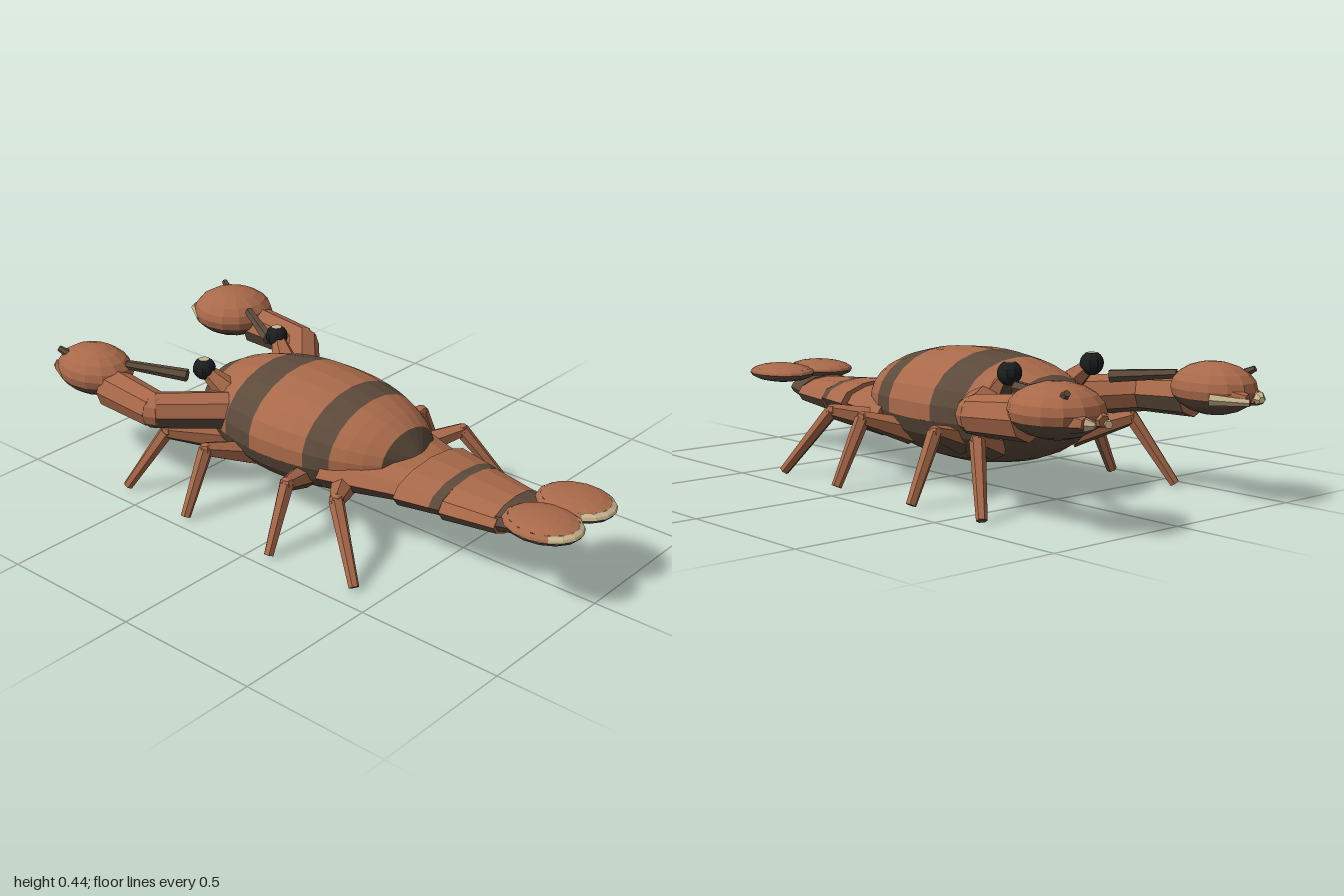
import * as THREE from 'three';

const mat = (name, color) => {
  const m = new THREE.MeshStandardMaterial({ color, flatShading: true });
  m.name = name;
  return m;
};

export function createModel() {
  const brown = mat('shell brown', 0xa9694a);
  const dark = mat('dark stripe', 0x5c4a3b);
  const cream = mat('cream', 0xc8b48e);
  const black = mat('eye black', 0x1b1e1f);

  const model = new THREE.Group();
  model.name = 'lobster';
  const root = new THREE.Group();
  root.name = 'lobsterParts';
  root.position.x = -0.012;
  model.add(root);

  const add = (name, geo, m, pos = [0, 0, 0]) => {
    const mesh = new THREE.Mesh(geo, m);
    mesh.name = name;
    mesh.position.set(...pos);
    root.add(mesh);
    return mesh;
  };

  // Shell part: brown, with dark on the faces that point down
  const addShell = (name, source, pos) => {
    const geo = source.toNonIndexed();
    geo.clearGroups();
    const p = geo.attributes.position;
    const tri = new THREE.Triangle(), n = new THREE.Vector3();
    for (let i = 0; i < p.count; i += 3) {
      tri.setFromAttributeAndIndices(p, i, i + 1, i + 2).getNormal(n);
      geo.addGroup(i, 3, n.y < -0.4 ? 1 : 0);
    }
    return add(name, geo, [brown, dark], pos);
  };
  const ball = (name, pos, r, w = 10, h = 8) =>
    addShell(name, new THREE.SphereGeometry(1, w, h).scale(...r), pos);

  // Tapered rod between two points; without a material it is a shell part
  const rod = (name, m, a, b, r1, r2, sides = 6) => {
    const p = new THREE.Vector3(...a), q = new THREE.Vector3(...b);
    const d = q.clone().sub(p);
    const geo = new THREE.CylinderGeometry(r2, r1, d.length(), sides).applyQuaternion(
      new THREE.Quaternion().setFromUnitVectors(new THREE.Vector3(0, 1, 0), d.normalize()));
    const mid = p.add(q).multiplyScalar(0.5).toArray();
    return m ? add(name, geo, m, mid) : addShell(name, geo, mid);
  };

  // Body shell: bands along z, striped above and dark below
  const cz = -0.12, rz = 0.457, rx = 0.265, ry = 0.185;
  const shell = (name, z0, z1, m, start, length, sides) => {
    const n = Math.max(1, Math.round((z1 - z0) / 0.05));
    const pts = [];
    for (let i = 0; i <= n; i++) {
      const t = THREE.MathUtils.clamp((z0 + (z1 - z0) * i / n - cz) / rz, -1, 1);
      pts.push(new THREE.Vector2(Math.sqrt(1 - t * t), t * rz));
    }
    const geo = new THREE.LatheGeometry(pts, sides, start, length)
      .rotateX(Math.PI / 2).scale(rx, ry, 1);
    add(name, geo, m, [0, 0.26, cz]);
  };
  const drop = 0.14;
  const bands = [-0.577, -0.455, -0.307, -0.18, 0.04, 0.13, 0.275, 0.337];
  for (let i = 0; i < bands.length - 1; i++)
    shell('bodyBand', bands[i], bands[i + 1], i % 2 ? brown : dark,
      Math.PI / 2 - drop, Math.PI + 2 * drop, 12);
  const caps = [-0.577, -0.55, -0.5, 0.26, 0.31, 0.337];
  for (let i = 0; i < caps.length - 1; i++)
    shell('belly', caps[i], caps[i + 1], dark, -Math.PI / 2 + drop, Math.PI - 2 * drop, 10);

  // Tail: [front z, back z, front half width, back half width, flatness, y, dark]
  const tail = [
    [0.10, 0.37, 0.25, 0.165, 0.36, 0.218, false],
    [0.37, 0.49, 0.192, 0.166, 0.36, 0.22, false],
    [0.49, 0.525, 0.166, 0.158, 0.36, 0.22, true],
    [0.525, 0.71, 0.16, 0.125, 0.41, 0.212, false],
    [0.70, 0.82, 0.122, 0.078, 0.42, 0.218, true],
  ];
  for (const [z0, z1, w0, w1, flat, y, isDark] of tail) {
    const geo = new THREE.CylinderGeometry(w1, w0, z1 - z0, 12)
      .rotateX(Math.PI / 2).scale(1, flat, 1);
    const pos = [0, y, (z0 + z1) / 2];
    if (isDark) add('darkTailSegment', geo, [dark, brown, brown], pos);
    else addShell('tailSegment', geo, pos);
  }

  for (const s of [-1, 1]) {
    const P = (x, y, z) => [s * x, y, z];

    // Tail fan lobe: brown top, cream back rim, dark underside
    const PI = Math.PI;
    const lobe = (m, phi, phiLen, th, thLen, w, h) => add('tailFan',
      new THREE.SphereGeometry(1, w, h, phi, phiLen, th, thLen).scale(0.108, 0.033, 0.133),
      m, P(0.087, 0.27, 0.862));
    lobe(brown, 0, 2 * PI, 0, PI / 3, 15, 3);
    lobe(cream, 0.2 * PI, 0.6 * PI, PI / 3, PI / 6, 5, 2);
    lobe(brown, 0.8 * PI, 1.4 * PI, PI / 3, PI / 6, 10, 2);
    lobe(dark, 0, 2 * PI, PI / 2, PI / 2, 15, 4);

    // Eye on a short stalk, with a flat glint on top
    const r = 0.039, cut = 0.5;
    rod('eyeStalk', null, P(0.145, 0.34, -0.39), P(0.175, 0.4, -0.45), 0.045, 0.025);
    add('eye', new THREE.SphereGeometry(r, 10, 8, 0, 2 * PI, cut, PI - cut), black,
      P(0.178, 0.409, -0.46));
    add('eyeGlint', new THREE.CircleGeometry(r * Math.sin(cut), 10).rotateX(-PI / 2), cream,
      P(0.178, 0.409 + r * Math.cos(cut), -0.46));

    // Antenna
    rod('antenna', dark, P(0.2, 0.372, -0.52), P(0.3, 0.39, -0.71), 0.022, 0.016);

    // Walking legs: [hip, knee, foot]
    const legs = [
      [[0.17, 0.17, -0.38], [0.335, 0.222, -0.49], [0.42, 0.01, -0.605]],
      [[0.18, 0.17, -0.24], [0.34, 0.222, -0.3], [0.44, 0.01, -0.305]],
      [[0.18, 0.17, 0.0], [0.34, 0.222, 0.06], [0.44, 0.01, 0.07]],
      [[0.17, 0.18, 0.15], [0.32, 0.222, 0.25], [0.41, 0.01, 0.4]],
    ];
    for (const [hip, knee, foot] of legs) {
      rod('upperLeg', null, P(...hip), P(...knee), 0.045, 0.025);
      ball('knee', P(...knee), [0.024, 0.024, 0.024], 6, 4);
      rod('lowerLeg', null, P(...knee), P(...foot), 0.025, 0.017);
    }

    // Claw arm
    rod('upperArm', null, P(0.16, 0.29, -0.33), P(0.36, 0.305, -0.51), 0.066, 0.063, 8);
    ball('elbow', P(0.36, 0.305, -0.51), [0.061, 0.061, 0.061], 8, 6);
    rod('forearm', null, P(0.36, 0.305, -0.51), P(0.355, 0.32, -0.73), 0.062, 0.07, 8);

    // Claw, pincer fingers and spike
    const w = s > 0 ? 0.14 : 0.115, cx = 0.338;
    ball('claw', P(cx, 0.355, -0.828), [w, 0.083, 0.147], 14, 10);
    rod('outerFinger', null, P(cx + 0.055, 0.34, -0.88), P(cx + 0.035, 0.335, -0.975), 0.045, 0.022);
    rod('outerFingerTip', cream, P(cx + 0.035, 0.335, -0.975), P(cx + 0.02, 0.333, -1), 0.022, 0.01);
    rod('innerFinger', null, P(cx - 0.06, 0.345, -0.88), P(cx - 0.03, 0.338, -0.985), 0.04, 0.018);
    rod('innerFingerEdge', cream, P(cx - 0.098, 0.335, -0.895), P(cx - 0.035, 0.33, -0.998), 0.02, 0.012);
    rod('clawSpike', dark, P(cx + 0.05, 0.4, -0.9), P(cx + 0.065, 0.42, -0.935), 0.016, 0.01);
  }
  return model;
}
